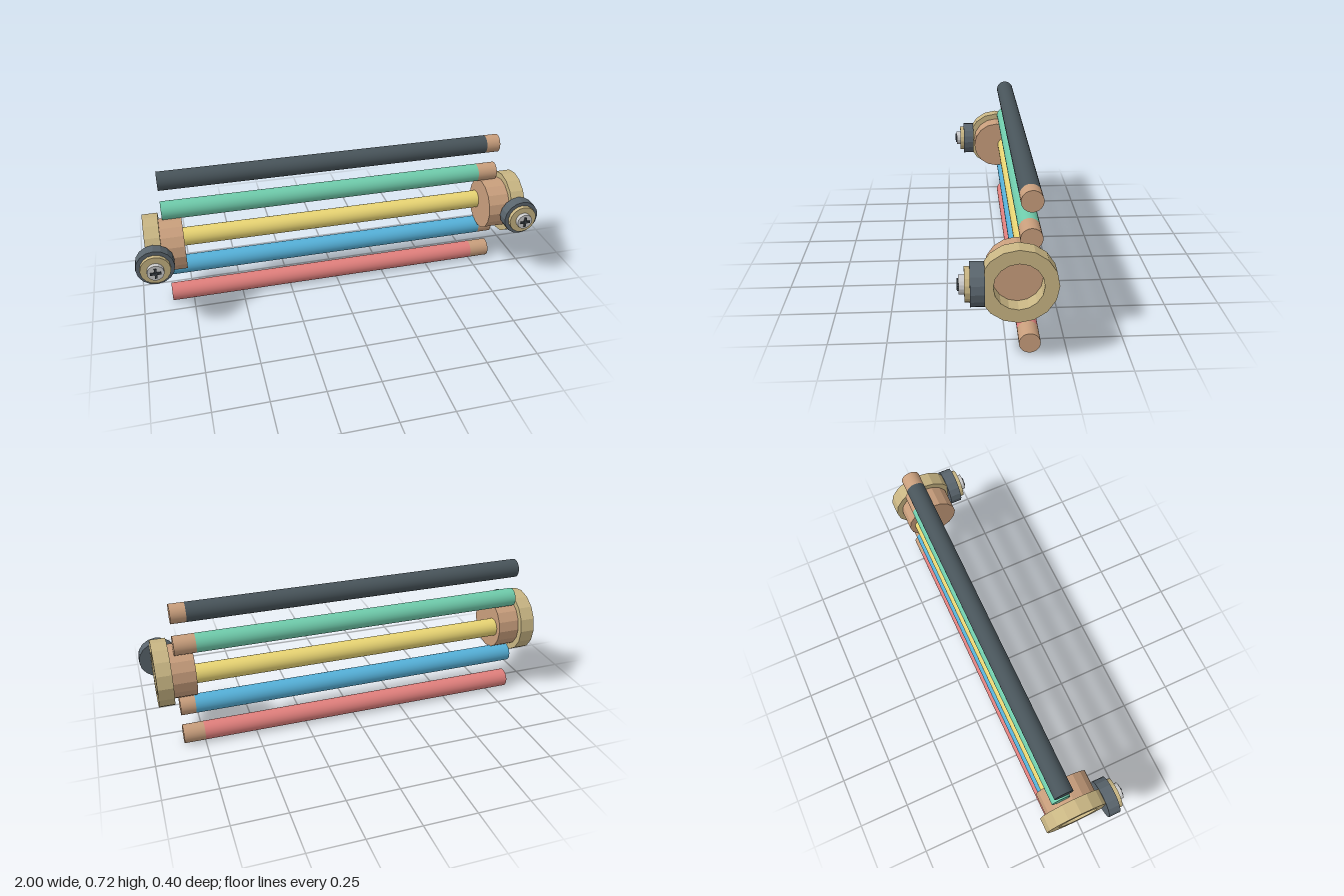
import * as THREE from 'three';

const MID_Y = 0.363;
const COLORS = {
  copper: 0xc89e7c, brass: 0xc8b583, wheel: 0x5a656d, steel: 0xcccccc, slot: 0x3a4045,
};

function mesh(name, geometry, color, flatShading = false) {
  const m = new THREE.Mesh(geometry, new THREE.MeshStandardMaterial({ color, flatShading }));
  m.name = name;
  return m;
}

// Cylinder lying along x, from x0 to x1
function barX(name, r, x0, x1, sides, color, flat) {
  const g = new THREE.CylinderGeometry(r, r, x1 - x0, sides).rotateZ(-Math.PI / 2);
  g.translate((x0 + x1) / 2, 0, 0);
  return mesh(name, g, color, flat);
}

// Disc facing the front, from z0 to z1
function discZ(name, r, z0, z1, sides, color, flat) {
  const g = new THREE.CylinderGeometry(r, r, z1 - z0, sides).rotateX(Math.PI / 2);
  g.translate(0, 0, (z0 + z1) / 2);
  return mesh(name, g, color, flat);
}

// Coloured rod with a bare copper tip at the left end
function makeRod(name, y, color, tipStart) {
  const rod = new THREE.Group();
  rod.name = name;
  rod.add(barX('sleeve', 0.045, -0.855, tipStart, 32, color));
  rod.add(barX('bareTip', 0.045, tipStart, 0.85, 32, COLORS.copper));
  rod.position.set(0, y, -0.095);
  return rod;
}

// End fitting: hub, open collar and a front knob with a cross-head screw
function makeFitting(side) {
  const fitting = new THREE.Group();
  fitting.name = side > 0 ? 'leftFitting' : 'rightFitting';

  const socket = new THREE.Group();
  socket.name = 'socket';
  socket.position.z = -0.04;
  const [a, b] = side > 0 ? [0.765, 0.875] : [-0.875, -0.765];
  socket.add(barX('hub', 0.128, a, b, 16, COLORS.copper, true));
  const profile = [[0.1, -0.036], [0.158, -0.036], [0.158, 0.036], [0.1, 0.036], [0.1, -0.036]]
    .map(([r, h]) => new THREE.Vector2(r, h));
  const ring = new THREE.LatheGeometry(profile, 16).rotateZ(-Math.PI / 2);
  ring.translate(side * 0.909, 0, 0);
  socket.add(mesh('collar', ring, COLORS.brass, true));

  const knob = new THREE.Group();
  knob.name = 'knob';
  knob.position.x = side * 0.911;
  knob.add(discZ('knobBody', 0.089, 0.093, 0.15, 16, COLORS.wheel, true));
  knob.add(discZ('washer', 0.07, 0.15, 0.171, 16, COLORS.brass, true));
  knob.add(discZ('screwHead', 0.039, 0.171, 0.193, 16, COLORS.steel, true));
  for (const [w, h] of [[0.05, 0.011], [0.011, 0.05]]) {
    const slot = mesh('screwCross', new THREE.BoxGeometry(w, h, 0.012), COLORS.slot);
    slot.position.z = w > h ? 0.194 : 0.1935;
    knob.add(slot);
  }

  fitting.add(socket, knob);
  fitting.position.y = MID_Y;
  return fitting;
}

export function createModel() {
  const model = new THREE.Group();
  model.name = 'rodAssembly';
  // Five parallel rods, bottom to top
  const rods = [
    ['redRod', 0xe07f7c, 0.75],
    ['blueRod', 0x55b0d8, 0.78],
    ['yellowRod', 0xe8d473, 0.78],
    ['greenRod', 0x6fcbab, 0.75],
    ['blackRod', 0x48545a, 0.78],
  ];
  rods.forEach(([name, color, tip], i) => {
    model.add(makeRod(name, 0.046 + i * 0.158, color, tip));
  });
  for (const side of [-1, 1]) model.add(makeFitting(side));
  return model;
}
